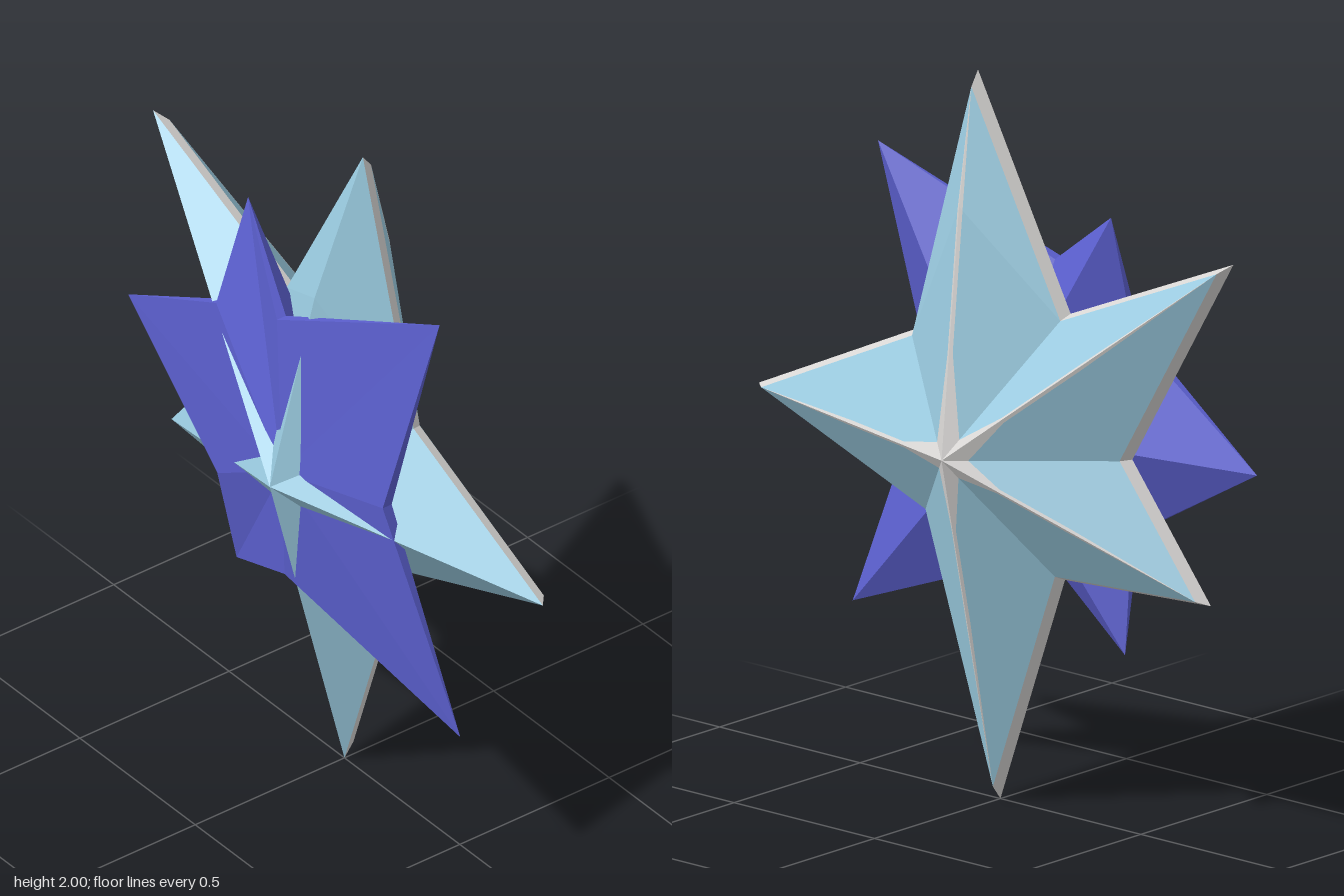
import * as THREE from 'three';

const paint = (name, color) => {
  const m = new THREE.MeshStandardMaterial({ color });
  m.name = name;
  return m;
};
const V = (x, y, z) => new THREE.Vector3(x, y, z);
const mix = (a, b, t) => a.clone().lerp(b, t);

// Flat-faced mesh from triangles, each turned to face away from an inner point
function facets(name, tris, inside, material) {
  const pos = [];
  for (const [a, b, c] of tris) {
    const n = b.clone().sub(a).cross(c.clone().sub(a));
    const mid = a.clone().add(b).add(c).divideScalar(3).sub(inside);
    const order = n.dot(mid) < 0 ? [a, c, b] : [a, b, c];
    for (const p of order) pos.push(p.x, p.y, p.z);
  }
  const g = new THREE.BufferGeometry();
  g.setAttribute('position', new THREE.Float32BufferAttribute(pos, 3));
  g.computeVertexNormals();
  const mesh = new THREE.Mesh(g, material);
  mesh.name = name;
  return mesh;
}

// Visit each half arm: tip index and the valley on either side of it
function halfArms(count, visit) {
  for (let i = 0; i < count; i++) {
    visit(i, i);
    visit(i, (i + count - 1) % count);
  }
}

export function createModel() {
  const pale = paint('pale blue', 0x9acbe0);
  const white = paint('off white', 0xd8d6d4);
  const indigo = paint('indigo', 0x5c60d0);
  const model = new THREE.Group();
  model.name = 'doubleStar';

  // Large star: tips and valleys lie in the plane x = 0
  const large = new THREE.Group();
  large.name = 'largeStar';
  const core = V(0, 0.99, 0);
  const tips = [V(0, 2, 0.08), V(0, 1.64, -0.83), V(0, 0.68, -0.75), V(0, 0, 0), V(0, 0.98, 0.86)];
  const valleys = [V(0, 1.39, -0.25), V(0, 1.03, -0.47), V(0, 0.65, -0.23), V(0, 0.75, 0.25), V(0, 1.24, 0.3)];
  const inset = (p) => { const q = mix(core, p, 0.96); q.x = 0.03; return q; };
  const front = V(0.245, 0.99, -0.01), back = V(-0.25, 0.99, 0);
  const rim = [], ridges = [], faces = [], rear = [];
  halfArms(5, (i, j) => {
    const t = tips[i], v = valleys[j], ti = inset(t), vi = inset(v);
    // Bevelled rim of the front half
    rim.push([t, v, vi], [t, vi, ti]);
    // Front ridge, bulging on the top arm, with a small pale star at the centre
    const knee = i === 0 ? V(0.12, 1.655, 0.04) : mix(front, ti, 0.5);
    const p = mix(front, vi, 0.15);
    const q = mix(mix(front, knee, 0.42), vi, 0.035);
    const r = mix(knee, vi, 0.035);
    ridges.push([front, p, q], [front, q, knee], [knee, q, r], [knee, r, ti]);
    faces.push([p, vi, q], [q, vi, r], [r, vi, ti]);
    // Plain rear half
    const rearKnee = i === 0 ? V(-0.135, 1.58, 0.045) : mix(back, t, 0.5);
    rear.push([back, rearKnee, v], [rearKnee, t, v]);
  });
  large.add(
    facets('rim', rim, core, white),
    facets('ridges', ridges, core, white),
    facets('frontFaces', faces, core, pale),
    facets('rearFaces', rear, core, pale)
  );

  // Small star behind, its valleys swept back and its rim tapering to the tips
  const hub = V(-0.1, 1.04, 0), nose = V(0.03, 1.02, 0), tail = V(-0.21, 1.02, 0);
  const smallTips = [[1.71, 0.49], [1.66, -0.34], [1.05, -0.86], [0.46, -0.39], [0.42, 0.58]].map(([y, z]) => V(-0.06, y, z));
  const smallValleys = [V(-0.18, 1.47, -0.06), V(-0.14, 1.33, -0.375), V(-0.14, 0.78, -0.37), V(-0.17, 0.65, -0.04), V(-0.15, 1.08, 0.36)];
  const small = [];
  halfArms(5, (i, j) => {
    const t = smallTips[i], v = smallValleys[j];
    const vf = v.clone().add(V(0.03, 0, 0));
    small.push([nose, t, vf], [t, v, vf], [tail, t, v]);
  });
  model.add(large, facets('smallStar', small, hub, indigo));
  return model;
}
